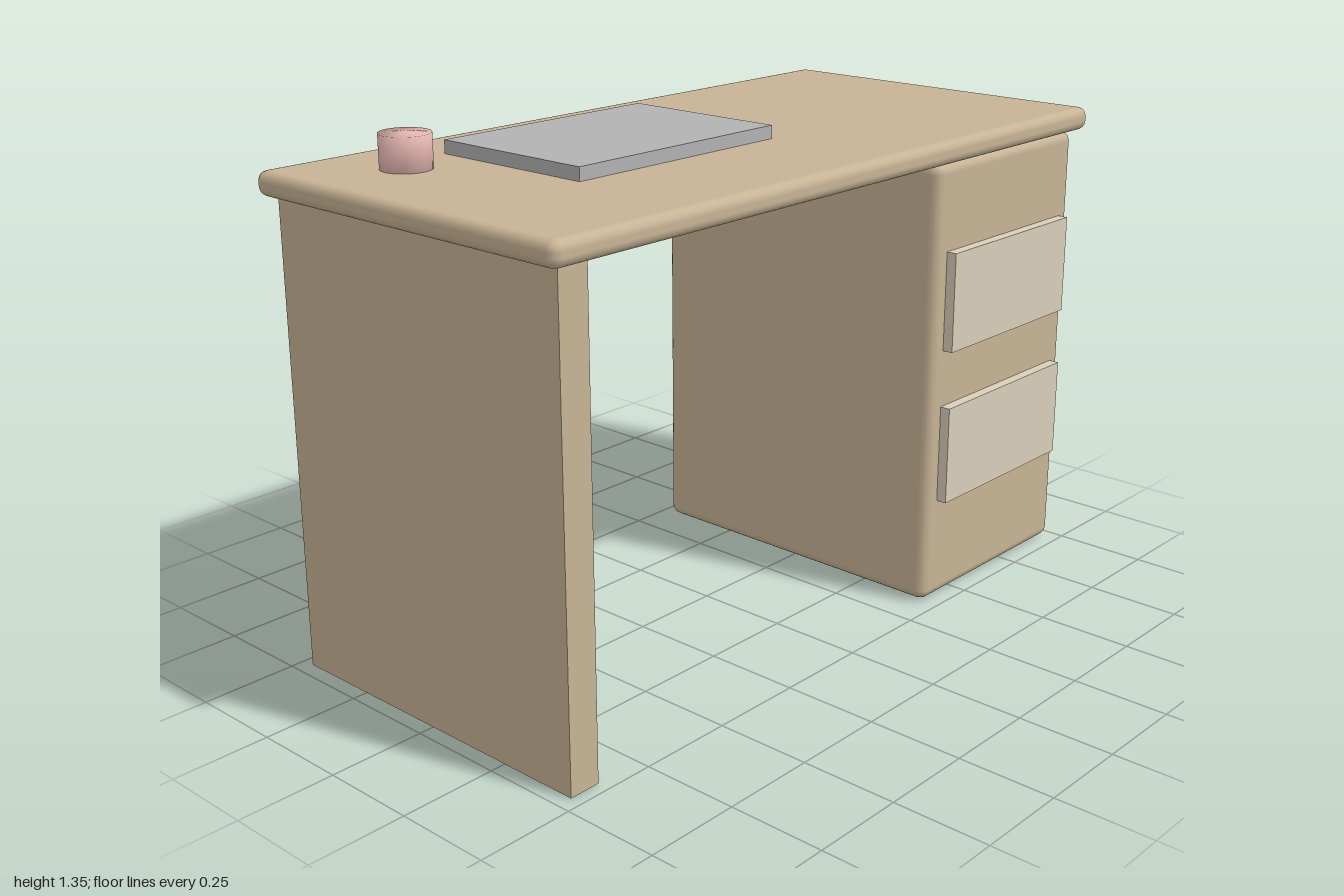
import * as THREE from 'three';
import { RoundedBoxGeometry } from 'three/addons/geometries/RoundedBoxGeometry.js';
import { mergeVertices } from 'three/addons/utils/BufferGeometryUtils.js';

const wood = new THREE.MeshStandardMaterial({ color: 0xc8b496 });
const paleWood = new THREE.MeshStandardMaterial({ color: 0xdacfba });
const grey = new THREE.MeshStandardMaterial({ color: 0xb2b2b2 });
const pink = new THREE.MeshStandardMaterial({ color: 0xe8b9b3 });

export function createModel() {
  const desk = new THREE.Group();
  desk.name = 'desk';

  // Box given by its minimum and maximum corners; a radius rounds its edges
  const addBox = (name, material, min, max, radius = 0) => {
    const size = max.map((v, i) => v - min[i]);
    const geometry = radius
      ? new RoundedBoxGeometry(...size, 2, radius)
      : new THREE.BoxGeometry(...size);
    const mesh = new THREE.Mesh(geometry, material);
    mesh.name = name;
    mesh.position.set(...max.map((v, i) => (v + min[i]) / 2));
    desk.add(mesh);
  };

  // Desk body
  addBox('tabletop', wood, [-1, 1.205, -0.5], [1, 1.267, 0.5], 0.025);
  addBox('sidePanel', wood, [-0.96, 0, -0.467], [-0.876, 1.206, 0.467]);
  addBox('cabinet', wood, [0.35, 0.005, -0.465], [0.98, 1.2, 0.465], 0.027);

  // Slim neck closing the gap between cabinet and tabletop
  addBox('cabinetTop', wood, [0.38, 1.19, -0.435], [0.95, 1.21, 0.435]);

  // Two drawer fronts
  for (const y of [0.286, 0.705]) {
    addBox('drawerFront', paleWood, [0.4, y, 0.455], [0.93, y + 0.265, 0.493]);
  }

  // Items on the desk
  addBox('deskPad', grey, [-0.585, 1.265, -0.316], [0.08, 1.301, 0.146]);

  // Cup with normals blended softly over its rim
  let cupGeometry = new THREE.CylinderGeometry(0.063, 0.063, 0.087, 24);
  cupGeometry.deleteAttribute('normal');
  cupGeometry.deleteAttribute('uv');
  cupGeometry = mergeVertices(cupGeometry);
  cupGeometry.computeVertexNormals();
  const cup = new THREE.Mesh(cupGeometry, pink);
  cup.name = 'cup';
  cup.position.set(-0.753, 1.308, -0.252);
  desk.add(cup);

  return desk;
}
